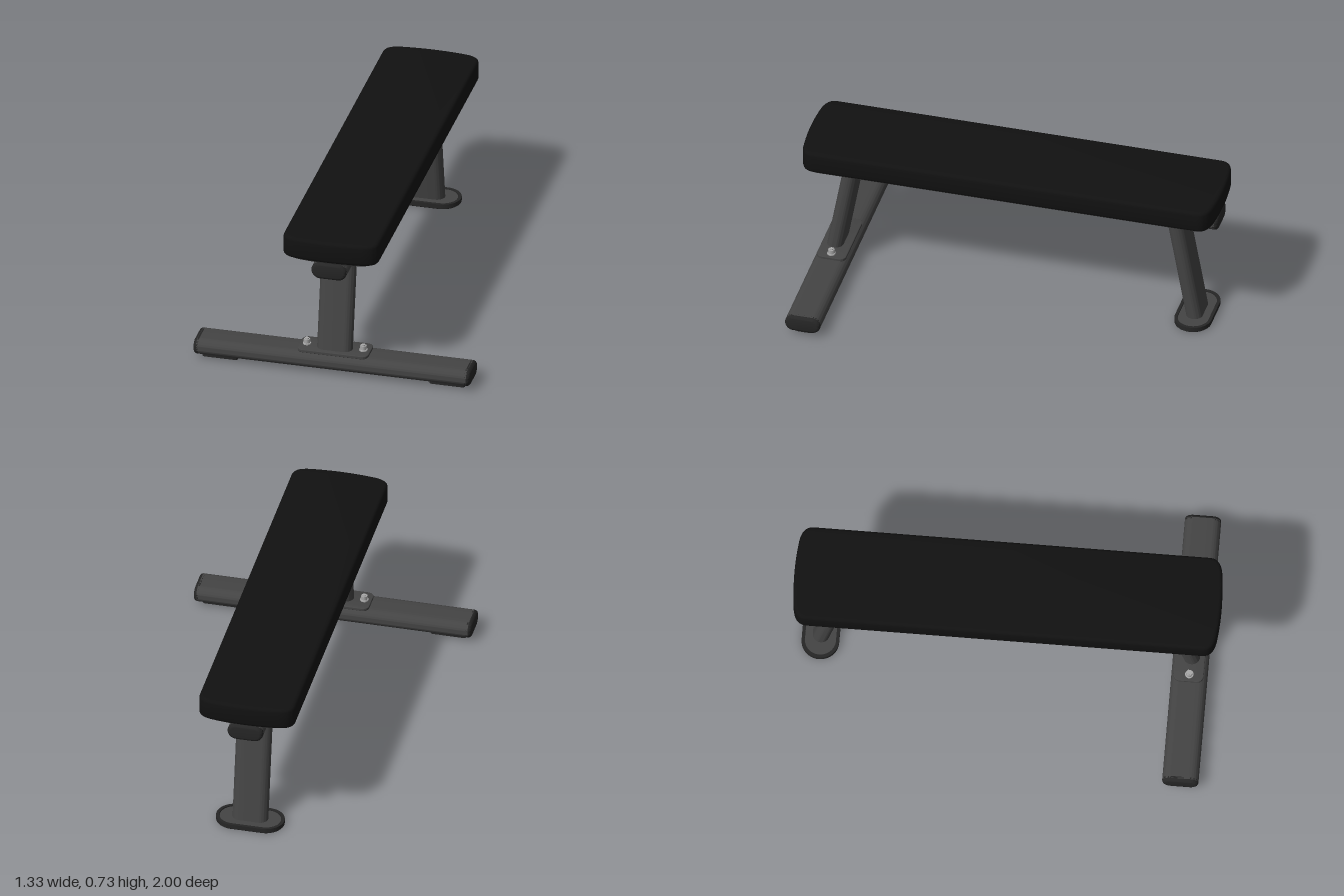
import * as THREE from 'three';
import { toCreasedNormals } from 'three/addons/utils/BufferGeometryUtils.js';

const mat = (color) => new THREE.MeshStandardMaterial({ color });
const vinyl = mat(0x111111), steel = mat(0x444444), rubber = mat(0x262626), zinc = mat(0xaaaaaa);

// Stadium outline, w wide and h high, with optional smaller corner radius
function oval(w, h, r = Math.min(w, h) / 2, Type = THREE.Shape) {
  const s = new Type(), x = w / 2 - r, y = h / 2 - r;
  s.absarc(x, y, r, 0, Math.PI / 2);
  s.absarc(-x, y, r, Math.PI / 2, Math.PI);
  s.absarc(-x, -y, r, Math.PI, Math.PI * 1.5);
  s.absarc(x, -y, r, Math.PI * 1.5, Math.PI * 2);
  s.closePath();
  return s;
}

// Extrusion centred along z; the bevel stays inside the outline and the length
function extrude(shape, length, bevel = 0, segments = 3) {
  const g = new THREE.ExtrudeGeometry(shape, {
    depth: length - 2 * bevel, curveSegments: 10, bevelEnabled: bevel > 0,
    bevelThickness: bevel, bevelSize: bevel, bevelOffset: -bevel, bevelSegments: segments,
  });
  g.translate(0, 0, -(length - 2 * bevel) / 2);
  return toCreasedNormals(g, 0.6);
}

// The same with the extrusion standing up along y
const slab = (shape, height, bevel) => extrude(shape, height, bevel).rotateX(-Math.PI / 2);

export function createModel() {
  const model = new THREE.Group();
  const add = (name, geometry, material, x = 0, y = 0, z = 0, parent = model) => {
    const m = new THREE.Mesh(geometry, material);
    m.name = name;
    m.position.set(x, y, z);
    parent.add(m);
    return m;
  };

  // Pad with softly bowed ends, and the board under it
  const padShape = (hw, hl) => {
    const s = new THREE.Shape();
    s.moveTo(hw, -hl + 0.075);
    s.lineTo(hw, hl - 0.075);
    s.bezierCurveTo(hw, hl - 0.035, hw - 0.025, hl - 0.018, hw - 0.07, hl - 0.01);
    s.quadraticCurveTo(0, hl + 0.01, -hw + 0.07, hl - 0.01);
    s.bezierCurveTo(-hw + 0.025, hl - 0.018, -hw, hl - 0.035, -hw, hl - 0.075);
    s.lineTo(-hw, -hl + 0.075);
    s.bezierCurveTo(-hw, -hl + 0.035, -hw + 0.025, -hl + 0.018, -hw + 0.07, -hl + 0.01);
    s.quadraticCurveTo(0, -hl - 0.01, hw - 0.07, -hl + 0.01);
    s.bezierCurveTo(hw - 0.025, -hl + 0.018, hw, -hl + 0.035, hw, -hl + 0.075);
    return s;
  };
  add('pad', slab(padShape(0.23, 1), 0.107, 0.016), vinyl, 0, 0.6765, 0);
  add('padBoard', slab(padShape(0.21, 0.98), 0.012), rubber, 0, 0.62, 0);

  // Oval tube with a domed plug in each end
  function cappedTube(name, w, h, length) {
    const g = new THREE.Group();
    g.name = name;
    add(name + 'Tube', extrude(oval(w, h), length - 0.03), steel, 0, 0, 0, g);
    for (const s of [-1, 1])
      add(name + 'Cap', extrude(oval(w, h), 0.04, 0.016, 4), rubber, 0, 0, s * (length / 2 - 0.02), g);
    model.add(g);
    return g;
  }
  cappedTube('spine', 0.17, 0.085, 1.98).position.y = 0.573;
  const foot = cappedTube('frontFoot', 0.17, 0.082, 1.33);
  foot.rotation.y = Math.PI / 2;
  foot.position.set(0, 0.061, 0.86);

  // Leaning legs, sheared so both ends stay level
  function leg(name, y0, y1, zBottom, slope) {
    const g = slab(oval(0.17, 0.078), y1 - y0);
    g.translate(0, (y1 - y0) / 2, 0);
    const p = g.attributes.position;
    for (let i = 0; i < p.count; i++) p.setZ(i, p.getZ(i) + p.getY(i) * slope);
    g.deleteAttribute('normal');
    add(name, toCreasedNormals(g, 0.6), steel, 0, y0, zBottom);
  }
  leg('frontLeg', 0.105, 0.552, 0.866, -0.179);
  leg('backLeg', 0.012, 0.552, -0.873, 0.177);

  // Hex bolt with a washer, head pointing up or down
  function bolt(x, y, z, dir, size) {
    const g = new THREE.Group();
    g.name = 'bolt';
    add('washer', new THREE.CylinderGeometry(size, size, size * 0.3, 16), zinc, 0, size * 0.15, 0, g);
    add('boltHead', new THREE.CylinderGeometry(size * 0.8, size * 0.8, size, 6).toNonIndexed(), zinc, 0, size * 0.8, 0, g);
    add('boltTip', new THREE.CylinderGeometry(size * 0.45, size * 0.45, size * 0.3, 12), zinc, 0, size * 1.4, 0, g);
    g.position.set(x, y, z);
    if (dir < 0) g.rotation.x = Math.PI;
    model.add(g);
  }
  for (const z of [0.89, 0, -0.89]) bolt(0, 0.531, z, -1, 0.012);

  // Front foot: mounting plate, its bolts and the floor pads
  add('mountingPlate', slab(oval(0.34, 0.14, 0.03), 0.015, 0.003), steel, 0, 0.106, 0.857);
  for (const s of [-1, 1]) {
    bolt(s * 0.136, 0.113, 0.86, 1, 0.02);
    add('floorPad', slab(oval(0.17, 0.08, 0.012), 0.024), rubber, s * 0.547, 0.013, 0.86);
  }

  // Back foot: tapered rubber shoe with a raised rim round a steel plate
  add('backShoe', slab(oval(0.325, 0.176), 0.02, 0.006), rubber, 0, 0.01, -0.872);
  add('backPlate', slab(oval(0.29, 0.145), 0.008), steel, 0, 0.019, -0.872);
  const rim = oval(0.325, 0.176);
  rim.holes.push(oval(0.296, 0.148, undefined, THREE.Path));
  add('backShoeRim', slab(rim, 0.012), rubber, 0, 0.02, -0.872);

  // Cross gussets that carry the board
  const gusset = new THREE.Shape([
    [-0.188, 0.617], [-0.188, 0.605], [-0.12, 0.574], [0.12, 0.574], [0.188, 0.605], [0.188, 0.617],
  ].map(([x, y]) => new THREE.Vector2(x, y)));
  for (const z of [0.6, -0.6]) {
    add('gusset', extrude(gusset, 0.012), steel, 0, 0, z);
    add('gussetFlange', new THREE.BoxGeometry(0.376, 0.006, 0.06), steel, 0, 0.612, z);
  }
  return model;
}
